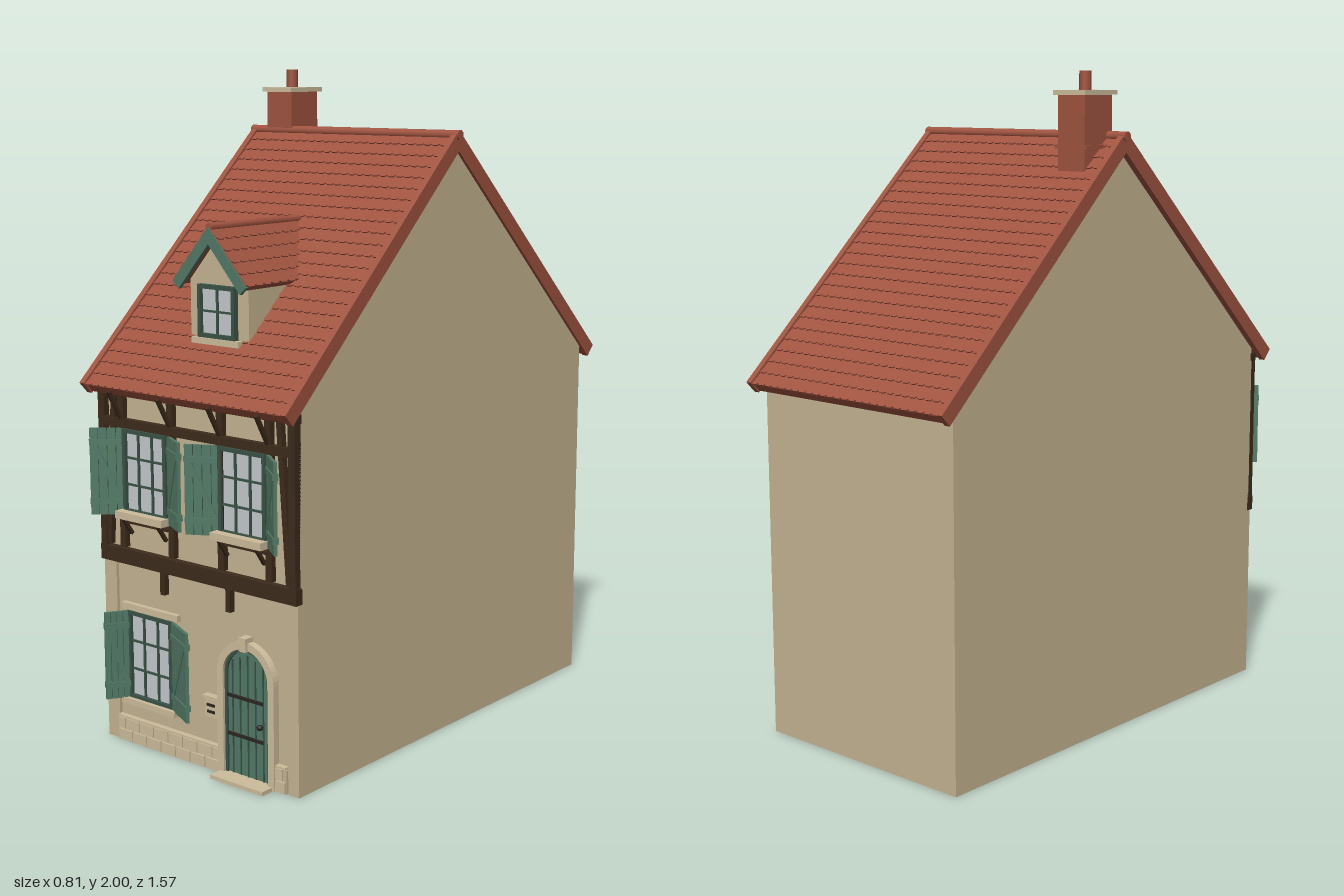
import * as THREE from 'three';

const mat = (name, color, side = THREE.FrontSide) => {
  const m = new THREE.MeshStandardMaterial({ color, side });
  m.name = name;
  return m;
};
const plaster = mat('plaster', 0xc6b592), roofRed = mat('roof tile', 0xa05440), timber = mat('timber', 0x3d2c1c);
const green = mat('painted green', 0x527a66), darkGreen = mat('dark green', 0x3a5347);
const glass = mat('glass', 0xc6cacd), stone = mat('stone', 0xcdbd9b), iron = mat('iron', 0x2c2620);

const FRONT = 0.71, EAVE = 1.11, RIDGE = 1.81, PITCH = 0.752;

function add(parent, name, geo, material, x = 0, y = 0, z = 0) {
  const m = new THREE.Mesh(geo, material);
  m.name = name;
  m.position.set(x, y, z);
  parent.add(m);
  return m;
}
const box = (parent, name, material, w, h, d, x, y, z) =>
  add(parent, name, new THREE.BoxGeometry(w, h, d), material, x, y, z);
const group = (parent, name, x = 0, y = 0, z = 0) => {
  const g = new THREE.Group();
  g.name = name;
  g.position.set(x, y, z);
  parent.add(g);
  return g;
};
const extrude = (shape, depth) => new THREE.ExtrudeGeometry(shape, { depth, bevelEnabled: false, curveSegments: 12 });
const polygon = pts => new THREE.Shape(pts.map(p => new THREE.Vector2(...p)));

// Roof slope falling along local +z, with overlapping scalloped tile courses
function tiledSlope(parent, name, width, length, courses, tiles, thick) {
  const g = group(parent, name);
  g.rotation.order = 'YXZ';
  box(g, 'roofSlab', roofRed, width, thick, length, 0, -thick / 2, length / 2);
  const pitch = length / courses, t = width / tiles, depth = pitch * 1.25;
  const pts = [[width / 2, 0], [-width / 2, 0]].reverse();
  for (let i = tiles - 1; i >= 0; i--) {
    const x = -width / 2 + i * t;
    pts.push([x + t, depth - 0.006], [x + t * 0.75, depth], [x + t * 0.25, depth]);
  }
  pts.push([-width / 2, depth - 0.006]);
  const course = extrude(polygon(pts), 0.006).rotateX(Math.PI / 2);
  for (let i = 0; i < courses; i++) {
    const row = add(g, 'tileCourse', course, roofRed, 0, 0.003, (i + 1) * pitch - depth + 0.004);
    row.rotation.x = -0.09;
  }
  return g;
}

// Glazed window with frame and glazing bars, centred on x, y
function makeWindow(parent, name, x, y, w, h, cols, rows, z) {
  const g = group(parent, name, x, y, z);
  box(g, 'glass', glass, w, h, 0.006, 0, 0, 0.003);
  for (const s of [-1, 1]) {
    box(g, 'frameSide', darkGreen, 0.012, h + 0.012, 0.018, s * w / 2, 0, 0.008);
    box(g, 'frameRail', darkGreen, w, 0.012, 0.018, 0, s * h / 2, 0.008);
  }
  for (let i = 1; i < cols; i++)
    box(g, 'glazingBar', darkGreen, 0.006, h, 0.01, -w / 2 + i * w / cols, 0, 0.007);
  for (let i = 1; i < rows; i++)
    box(g, 'glazingBar', darkGreen, w, 0.006, 0.009, 0, -h / 2 + i * h / rows, 0.007);
}

// Plank shutter hinged at x, opening towards side s and swung out by angle
function shutter(parent, x, y, w, h, s, angle) {
  const g = group(parent, 'shutter', x, y, FRONT + 0.012);
  g.rotation.y = -s * angle;
  const n = 4;
  for (let i = 0; i < n; i++)
    box(g, 'plank', green, w / n - 0.002, h, 0.01, s * w * (i + 0.5) / n, 0, 0);
  box(g, 'backing', darkGreen, w - 0.004, h - 0.006, 0.005, s * w / 2, 0, 0);
  const bh = h * 0.34;
  for (const v of [-1, 1]) box(g, 'batten', green, w, 0.018, 0.018, s * w / 2, v * bh, 0);
  const brace = box(g, 'brace', green, 0.014, Math.hypot(w * 0.8, bh * 2), 0.016, s * w / 2, 0, 0);
  brace.rotation.z = -s * Math.atan2(w * 0.8, bh * 2);
}

function archRing(outer, inner, spring) {
  const r = new THREE.Shape();
  r.moveTo(-outer, 0).lineTo(-inner, 0).lineTo(-inner, spring);
  r.absarc(0, spring, inner, Math.PI, 0, true);
  r.lineTo(inner, 0).lineTo(outer, 0).lineTo(outer, spring);
  r.absarc(0, spring, outer, 0, Math.PI, false);
  return r;
}

function addWalls(house) {
  // Hollow walls, open at the bottom, with a deep front part
  const plan = polygon([[-0.375, -0.71], [0.39, -0.71], [0.39, 0.71], [-0.375, 0.71]]);
  plan.holes.push(polygon([[-0.335, -0.21], [-0.335, 0.67], [0.35, 0.67], [0.35, -0.21]]));
  add(house, 'walls', extrude(plan, EAVE).rotateX(-Math.PI / 2), plaster);
  const gable = polygon([[-0.71, EAVE], [0.71, EAVE], [0, 1.775]]);
  add(house, 'gable', extrude(gable, 0.765).rotateY(-Math.PI / 2), plaster, 0.39);
  box(house, 'cornerPier', plaster, 0.05, 0.56, 0.01, -0.35, 0.28, FRONT + 0.005);
  box(house, 'cornerPier', plaster, 0.04, 0.56, 0.01, 0.37, 0.28, FRONT + 0.005);
}

function addRoof(house) {
  for (const back of [0, 1]) {
    const g = tiledSlope(house, back ? 'backRoof' : 'frontRoof', 0.77, 1.05, 24, 26, 0.03);
    g.position.y = RIDGE;
    g.rotation.set(PITCH, back * Math.PI, 0);
    for (const s of [-1, 1]) box(g, 'verge', roofRed, 0.02, 0.045, 1.055, s * 0.39, -0.01, 0.5275);
  }
  const cap = new THREE.CylinderGeometry(0.015, 0.015, 0.81, 10).rotateZ(Math.PI / 2);
  add(house, 'ridgeCap', cap, roofRed, 0, RIDGE + 0.002, 0);
  // Chimney
  const c = group(house, 'chimney', -0.285, 0, -0.05);
  box(c, 'stack', roofRed, 0.1, 0.23, 0.125, 0, 1.82, 0);
  box(c, 'flashing', roofRed, 0.12, 0.012, 0.13, 0, 1.782, 0);
  box(c, 'chimneyCap', stone, 0.12, 0.014, 0.15, 0, 1.938, 0);
  add(c, 'chimneyPot', new THREE.CylinderGeometry(0.018, 0.018, 0.06, 12), roofRed, 0, 1.97, 0);
}

function addDormer(house) {
  const d = group(house, 'dormer', 0.008);
  const face = polygon([[-0.112, 1.2], [0.112, 1.2], [0.112, 1.42], [0, 1.54], [-0.112, 1.42]]);
  add(d, 'dormerWalls', extrude(face, 0.31), plaster, 0, 0, 0.3);
  makeWindow(d, 'dormerWindow', 0, 1.325, 0.13, 0.14, 2, 2, 0.61);
  box(d, 'dormerSill', stone, 0.18, 0.018, 0.025, 0, 1.24, 0.62);
  for (const s of [-1, 1]) {
    const g = tiledSlope(d, 'dormerRoof', 0.38, 0.208, 5, 11, 0.018);
    g.position.set(0, 1.565, 0.46);
    g.rotation.set(0.847, s * Math.PI / 2, 0);
    box(g, 'bargeboard', green, 0.012, 0.032, 0.212, -s * 0.188, -0.014, 0.106);
  }
  add(d, 'dormerRidge', new THREE.CylinderGeometry(0.012, 0.012, 0.385, 8).rotateX(Math.PI / 2), roofRed, 0, 1.567, 0.458);
}

function addUpperFloor(house) {
  const frame = group(house, 'timberFrame', 0, 0, FRONT + 0.008);
  // Beams and posts: x, y, width, height
  [[0.0075, 0.583, 0.77, 0.046], [0.0075, 1.078, 0.77, 0.025], [0.0075, 0.985, 0.75, 0.026],
    [-0.363, 0.83, 0.024, 0.48], [0.378, 0.83, 0.024, 0.48]]
    .forEach(([x, y, w, h]) => box(frame, 'beam', timber, w, h, 0.026, x, y, 0));
  for (const x of [-0.285, -0.085, 0.11, 0.29]) {
    box(frame, 'post', timber, 0.022, 0.46, 0.02, x, 0.84, 0);
    const strut = box(frame, 'eaveStrut', timber, 0.012, 0.1, 0.01, x, 1.04, 0.03);
    strut.rotation.x = 0.5;
  }
  for (const s of [-1, 1]) {
    const brace = box(frame, 'brace', timber, 0.018, 0.46, 0.018, 0.0075 + s * 0.338, 0.84, 0);
    brace.rotation.z = s * 0.07;
  }
  for (const x of [-0.125, 0.135]) box(frame, 'corbel', timber, 0.018, 0.07, 0.02, x, 0.527, 0);

  for (const s of [-1, 1]) {
    const x = 0.006 + s * 0.191;
    makeWindow(house, 'upperWindow', x, 0.845, 0.165, 0.24, 3, 3, FRONT + 0.008);
    shutter(house, x + s * 0.088, 0.84, 0.105, 0.26, s, 0.65);
    shutter(house, x - s * 0.088, 0.84, 0.105, 0.26, -s, 0.5);
    box(house, 'windowSill', stone, 0.19, 0.022, 0.05, x, 0.717, FRONT + 0.028);
    box(house, 'sillRail', timber, 0.18, 0.01, 0.02, x, 0.692, FRONT + 0.012);
    for (const v of [-1, 1]) {
      const b = box(house, 'sillBracket', timber, 0.01, 0.06, 0.01, x + v * 0.07, 0.68, FRONT + 0.025);
      b.rotation.x = 0.6;
    }
  }
}

function addGroundFloor(house) {
  makeWindow(house, 'lowerWindow', -0.185, 0.28, 0.17, 0.26, 3, 3, FRONT);
  box(house, 'lintel', stone, 0.23, 0.02, 0.016, -0.185, 0.428, FRONT + 0.008);
  box(house, 'lowerSill', stone, 0.22, 0.018, 0.03, -0.185, 0.137, FRONT + 0.015);
  shutter(house, -0.275, 0.28, 0.075, 0.27, -1, 1.0);
  shutter(house, -0.092, 0.28, 0.12, 0.27, 1, 0.45);

  // Stone plinth in two staggered courses
  const plinth = group(house, 'plinth', 0, 0, FRONT + 0.007);
  for (const [x0, x1] of [[-0.325, 0.09], [0.305, 0.345]]) {
    const mid = (x0 + x1) / 2;
    box(plinth, 'mortar', plaster, x1 - x0, 0.07, 0.01, mid, 0.035, 0);
    box(plinth, 'plinthLedge', stone, x1 - x0, 0.006, 0.02, mid, 0.076, 0);
    for (let row = 0; row < 2; row++)
      for (let x = x0 - row * 0.03; x < x1 - 0.01; x += 0.06) {
        const a = Math.max(x, x0) + 0.002, b = Math.min(x + 0.06, x1) - 0.002;
        box(plinth, 'plinthStone', stone, b - a, 0.033, 0.022, (a + b) / 2, 0.018 + row * 0.037, 0);
      }
  }

  // Arched plank door with stone surround
  const door = group(house, 'door', 0.2, 0, FRONT);
  const leaf = new THREE.Shape();
  leaf.moveTo(-0.085, 0).lineTo(0.085, 0).lineTo(0.085, 0.31);
  leaf.absarc(0, 0.31, 0.085, 0, Math.PI, false);
  add(door, 'doorLeaf', extrude(leaf, 0.008), green);
  add(door, 'doorFrame', extrude(archRing(0.085, 0.076, 0.31), 0.014), darkGreen);
  add(door, 'doorSurround', extrude(archRing(0.108, 0.085, 0.31), 0.022), stone);
  box(door, 'keystone', stone, 0.026, 0.04, 0.032, 0, 0.412, 0.016);
  for (let i = -2; i <= 2; i++)
    box(door, 'plankGap', darkGreen, 0.004, 0.375 - Math.abs(i) * 0.011, 0.003, i * 0.029, 0.188 - Math.abs(i) * 0.0055, 0.009);
  for (const y of [0.13, 0.245]) box(door, 'strapHinge', iron, 0.14, 0.009, 0.006, -0.012, y, 0.011);
  add(door, 'doorKnob', new THREE.SphereGeometry(0.009, 10, 8), iron, 0.05, 0.175, 0.016);
  box(door, 'doorstep', stone, 0.2, 0.012, 0.065, 0, 0.006, 0.0325);

  // Letter box
  const post = group(house, 'letterBox', 0.062, 0.19, FRONT);
  box(post, 'letterBoxBody', stone, 0.05, 0.06, 0.016, 0, 0, 0.008);
  box(post, 'letterBoxLid', stone, 0.058, 0.008, 0.022, 0, 0.032, 0.011);
  for (const y of [0.008, -0.012]) box(post, 'letterSlot', iron, 0.03, 0.008, 0.003, 0, y, 0.017);
}

export function createModel() {
  const house = new THREE.Group();
  house.name = 'townhouse';
  addWalls(house);
  addRoof(house);
  addDormer(house);
  addUpperFloor(house);
  addGroundFloor(house);
  return house;
}
